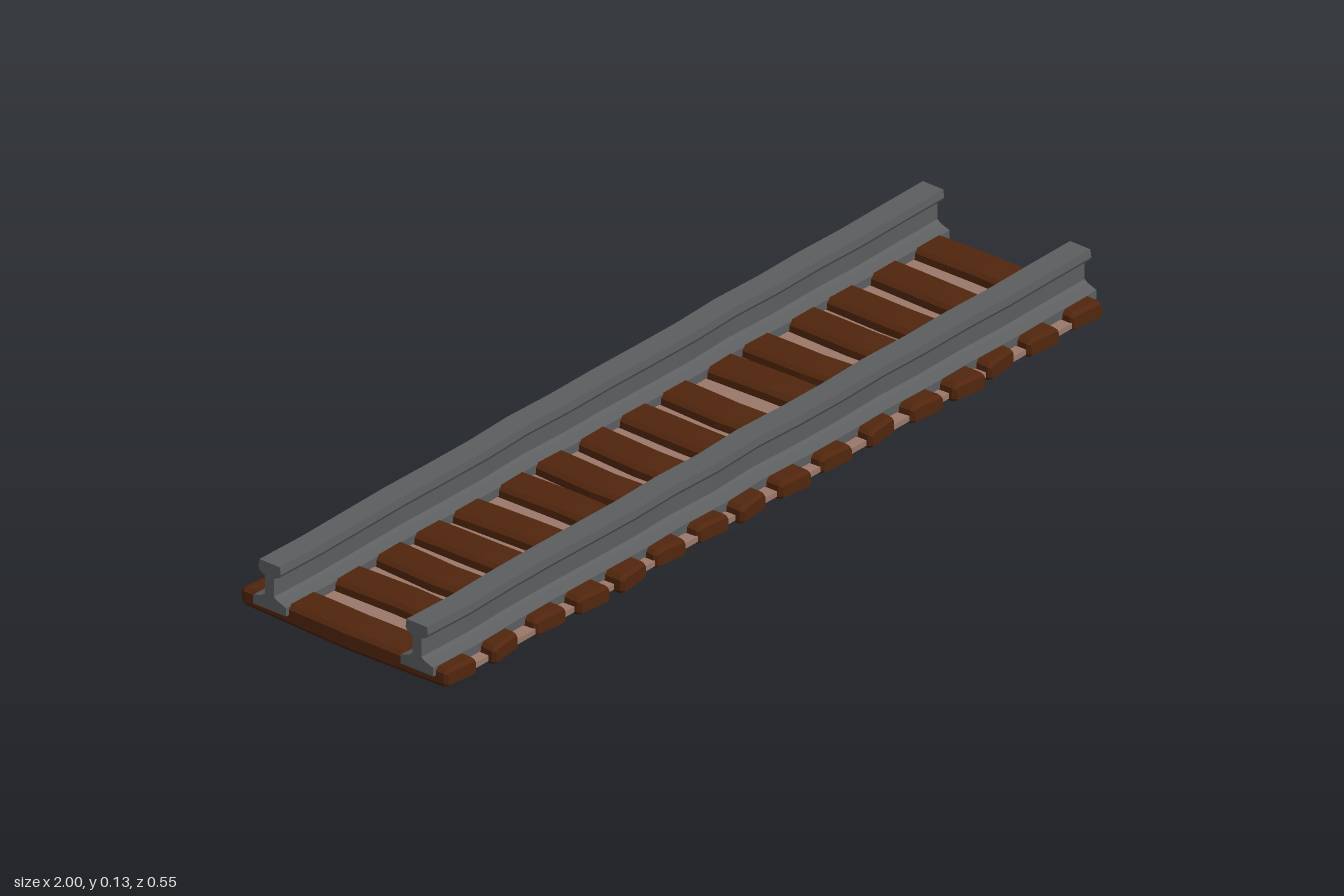
import * as THREE from 'three';

const mat = (name, color) => {
  const m = new THREE.MeshStandardMaterial({ color, flatShading: true });
  m.name = name;
  return m;
};

// Smoothly follow a list of evenly spaced values, t from 0 to 1
const along = (list, t) => {
  const f = Math.min(Math.max(t, 0), 1) * (list.length - 1);
  const i = Math.min(Math.floor(f), list.length - 2);
  return THREE.MathUtils.lerp(list[i], list[i + 1], f - i);
};

const bend = (geo, rule) => {
  const p = geo.attributes.position;
  const v = new THREE.Vector3();
  for (let i = 0; i < p.count; i++) {
    v.fromBufferAttribute(p, i);
    rule(v);
    p.setXYZ(i, v.x, v.y, v.z);
  }
  geo.computeVertexNormals();
  return geo;
};

// Rail: I-shaped profile swept along x with a slight wander
function railGeometry(z, wander) {
  const half = [[0.042, 0.023], [0.042, 0.042], [0.019, 0.05], [0.0115, 0.056],
    [0.0115, 0.096], [0.025, 0.103], [0.0285, 0.11], [0.026, 0.127]];
  const mirrored = half.map(([x, y]) => [-x, y]).reverse();
  const shape = new THREE.Shape([...half, ...mirrored].map(([x, y]) => new THREE.Vector2(x, y)));
  const geo = new THREE.ExtrudeGeometry(shape, { depth: 2, steps: 16, bevelEnabled: false });
  geo.rotateY(Math.PI / 2).translate(-1, 0, 0);
  return bend(geo, v => { v.z += z + along(wander, (v.x + 1) / 2); });
}

// Sleeper: chamfered timber along z, bowed sideways and crowned in the middle
function sleeperGeometry(back, middle, front, zBack, zFront, skew) {
  const w = 0.042, c = 0.008, h = 0.04, b = 0.009;
  const shape = new THREE.Shape([[-w + c / 2, 0.001], [w - c / 2, 0.001], [w, 0.008], [w, h - c],
    [w - c, h], [-w + c, h], [-w, h - c], [-w, 0.008]].map(([x, y]) => new THREE.Vector2(x, y)));
  const length = zFront - zBack;
  const geo = new THREE.ExtrudeGeometry(shape, {
    depth: length - 2 * b, steps: 6, bevelEnabled: true,
    bevelThickness: b, bevelSize: 0.005, bevelOffset: -0.005, bevelSegments: 1,
  });
  geo.translate(0, 0, zBack + b);
  return bend(geo, v => {
    const t = (v.z - zBack) / length;
    const crown = Math.sin(Math.PI * t);
    v.y += v.y > 0.02 ? 0.0045 * crown : 0.002 * (1 - crown) - 0.001;
    v.z += skew * v.x * Math.abs(2 * t - 1);
    v.x += along([back, middle, front], t);
  });
}

export function createModel() {
  const group = new THREE.Group();
  const steel = mat('steel', 0x5c5e60);
  const timber = mat('timber', 0x52260d);
  const earth = mat('earth', 0x9c7a6b);
  const add = (name, geo, material) => {
    const mesh = new THREE.Mesh(geo, material);
    mesh.name = name;
    group.add(mesh);
  };

  // Rails
  add('frontRail', railGeometry(0.184, [0, 0.004, 0, -0.001, 0.001, 0.003, -0.001, 0.003, -0.003,
    0.002, 0.003, -0.001, 0.002, 0, 0.003, 0.001, 0]), steel);
  add('backRail', railGeometry(-0.191, [0, 0.003, 0.001, -0.001, 0.001, 0.002, -0.003, 0.001, 0,
    0.002, 0.003, -0.002, 0.002, 0, 0.003, 0.001, 0]), steel);

  // Sleepers: x at the back end, middle and front end, then both end positions in z
  const sleepers = [
    [-0.945, -0.955, -0.95, -0.273, 0.258], [-0.815, -0.81, -0.82, -0.262, 0.262],
    [-0.68, -0.695, -0.68, -0.261, 0.258], [-0.57, -0.57, -0.56, -0.259, 0.268],
    [-0.46, -0.45, -0.44, -0.266, 0.268], [-0.32, -0.315, -0.32, -0.262, 0.259],
    [-0.195, -0.21, -0.19, -0.272, 0.259], [-0.07, -0.085, -0.075, -0.268, 0.264],
    [0.05, 0.045, 0.05, -0.26, 0.266], [0.175, 0.165, 0.18, -0.272, 0.26],
    [0.305, 0.315, 0.32, -0.259, 0.258], [0.42, 0.42, 0.45, -0.273, 0.264],
    [0.56, 0.555, 0.57, -0.264, 0.27], [0.675, 0.67, 0.68, -0.272, 0.258],
    [0.805, 0.80, 0.80, -0.272, 0.264], [0.935, 0.94, 0.937, -0.261, 0.258],
  ];
  sleepers.forEach((s, i) => {
    add('sleeper' + (i + 1), sleeperGeometry(...s, i % 3 === 1 ? -0.12 : 0.1), timber);
  });

  // Ground strip showing between the sleepers
  const bed = new THREE.BoxGeometry(1.93, 0.012, 0.5);
  bed.translate(0, 0.014, 0);
  add('groundStrip', bed, earth);
  return group;
}
